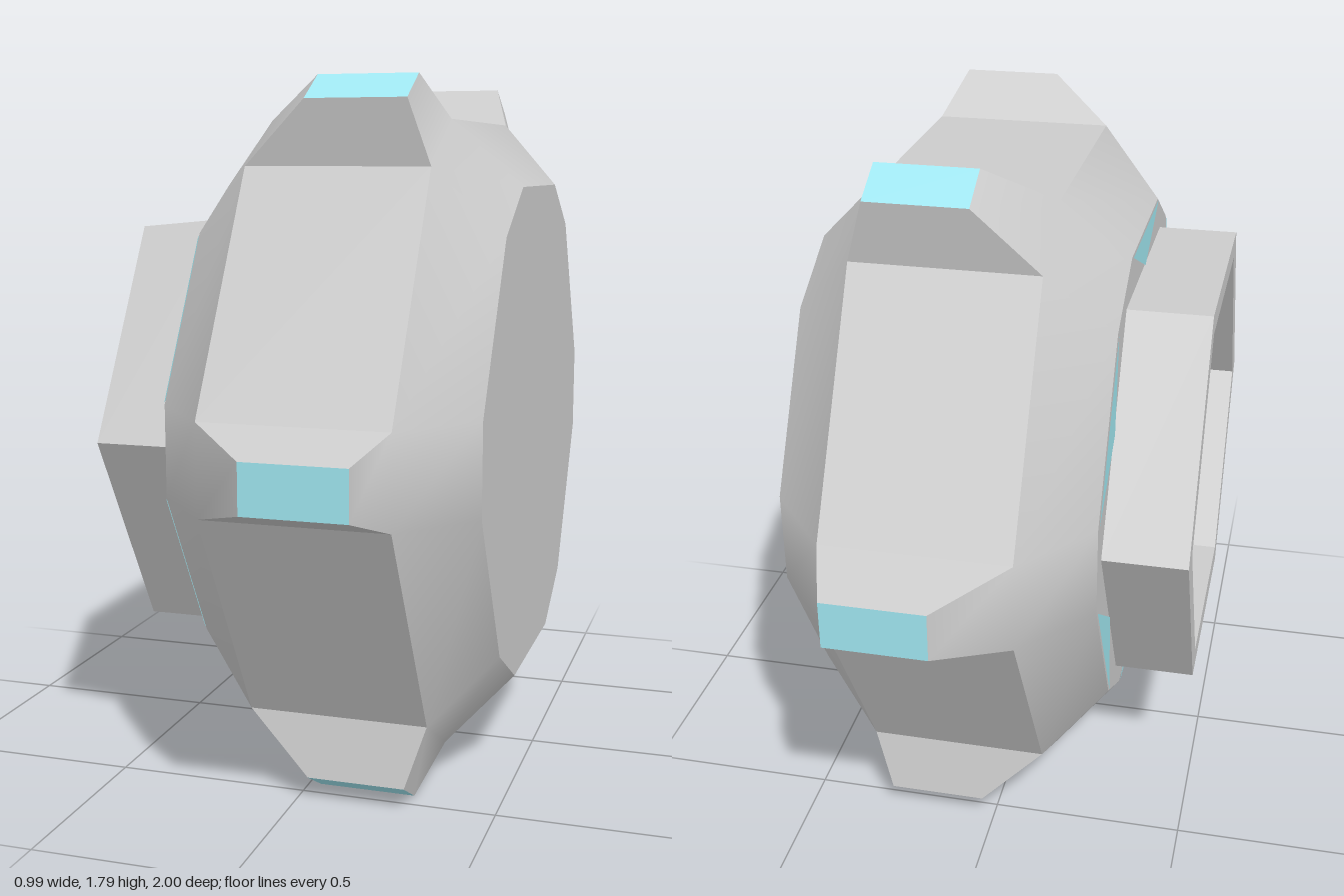
import * as THREE from 'three';
import { mergeVertices } from 'three/addons/utils/BufferGeometryUtils.js';

const grey = new THREE.MeshStandardMaterial({ color: 0xcccccc });
const greyFlat = new THREE.MeshStandardMaterial({ color: 0xcccccc, flatShading: true });
const cyan = new THREE.MeshStandardMaterial({ color: 0x9fe6f0, flatShading: true });

const CY = 0.9; // height of the axle, which runs along x

// Point in sector k: x along the axle, u outwards, v sideways
function pt(k, x, u, v) {
  const a = k * Math.PI / 3, c = Math.cos(a), s = Math.sin(a);
  return [x, CY + u * s + v * c, u * c - v * s];
}

// Mesh from polygons (fans); smooth ones share their vertices
function polyMesh(name, polys, material, smooth = false) {
  const pos = [];
  for (const p of polys)
    for (let i = 1; i < p.length - 1; i++) pos.push(...p[0], ...p[i], ...p[i + 1]);
  let g = new THREE.BufferGeometry();
  g.setAttribute('position', new THREE.Float32BufferAttribute(pos, 3));
  if (smooth) g = mergeVertices(g, 1e-4);
  g.computeVertexNormals();
  const mesh = new THREE.Mesh(g, material);
  mesh.name = name;
  return mesh;
}

export function createModel() {
  const group = new THREE.Group();

  // Section corners on each side: [x, u, v]
  const tipL = [0.03, 1.0, 0.06], tipR = [0.28, 1.0, 0.06];
  const baseL = [-0.13, 0.85, 0.113], baseR = [0.33, 0.85, 0.113];
  const endL = [-0.29, 0.66, 0.115], endR = [0.49, 0.66, 0.115];

  const flats = [], flanks = [], tips = [], bevelL = [], bevelR = [], capL = [], capR = [], marks = [];
  for (let k = 0; k < 6; k++) {
    const lo = ([x, u, v]) => pt(k, x, u, -v);
    const hi = ([x, u, v]) => pt(k, x, u, v);
    const next = ([x, u, v]) => pt(k + 1, x, u, -v);

    // Tread between teeth, tooth flanks and coloured tooth tip
    flats.push([hi(baseL), hi(baseR), next(baseR), next(baseL)]);
    flanks.push([hi(tipL), hi(tipR), hi(baseR), hi(baseL)], [lo(baseL), lo(baseR), lo(tipR), lo(tipL)]);
    tips.push([lo(tipL), lo(tipR), hi(tipR), hi(tipL)]);

    // Smooth side bevels that run on into the tooth sides
    bevelR.push([lo(tipR), lo(baseR), hi(baseR), hi(tipR)]);
    bevelL.push([lo(baseL), lo(tipL), hi(tipL), hi(baseL)]);
    for (const to of [[lo, hi], [hi, next]]) {
      const [a, b] = to;
      bevelR.push([a(baseR), a(endR), b(endR), b(baseR)]);
      bevelL.push([a(endL), a(baseL), b(baseL), b(endL)]);
      capR.push([[0.49, CY, 0], b(endR), a(endR)]);
      capL.push([[-0.29, CY, 0], a(endL), b(endL)]);
    }

    // Coloured triangle on the hub side, middle of each long edge
    const m = k + 0.5;
    marks.push([pt(m, -0.293, 0.627, -0.225), pt(m, -0.293, 0.627, 0.225), pt(m, -0.293, 0.525, 0)].reverse());
  }

  group.add(
    polyMesh('tread', flats, greyFlat),
    polyMesh('toothFlanks', flanks, greyFlat),
    polyMesh('toothTips', tips, cyan),
    polyMesh('leftBevel', bevelR, grey, true),
    polyMesh('rightBevel', bevelL, grey, true),
    polyMesh('leftFace', capR, greyFlat),
    polyMesh('rightFace', capL, greyFlat),
    polyMesh('faceMarks', marks, new THREE.MeshStandardMaterial({ color: 0x9fe6f0, side: THREE.DoubleSide })),
  );

  // Hollow hexagonal hub
  const profile = [[0.605, 0], [0.605, 0.21], [0.535, 0.21], [0.535, 0.05], [0, 0.05]]
    .map(([r, h]) => new THREE.Vector2(r, h));
  const hubGeo = new THREE.LatheGeometry(profile, 6).toNonIndexed();
  hubGeo.computeVertexNormals();
  const hub = new THREE.Mesh(hubGeo, greyFlat);
  hub.name = 'hub';
  hub.rotation.z = Math.PI / 2;
  hub.position.set(-0.29, CY, 0);
  group.add(hub);

  return group;
}
